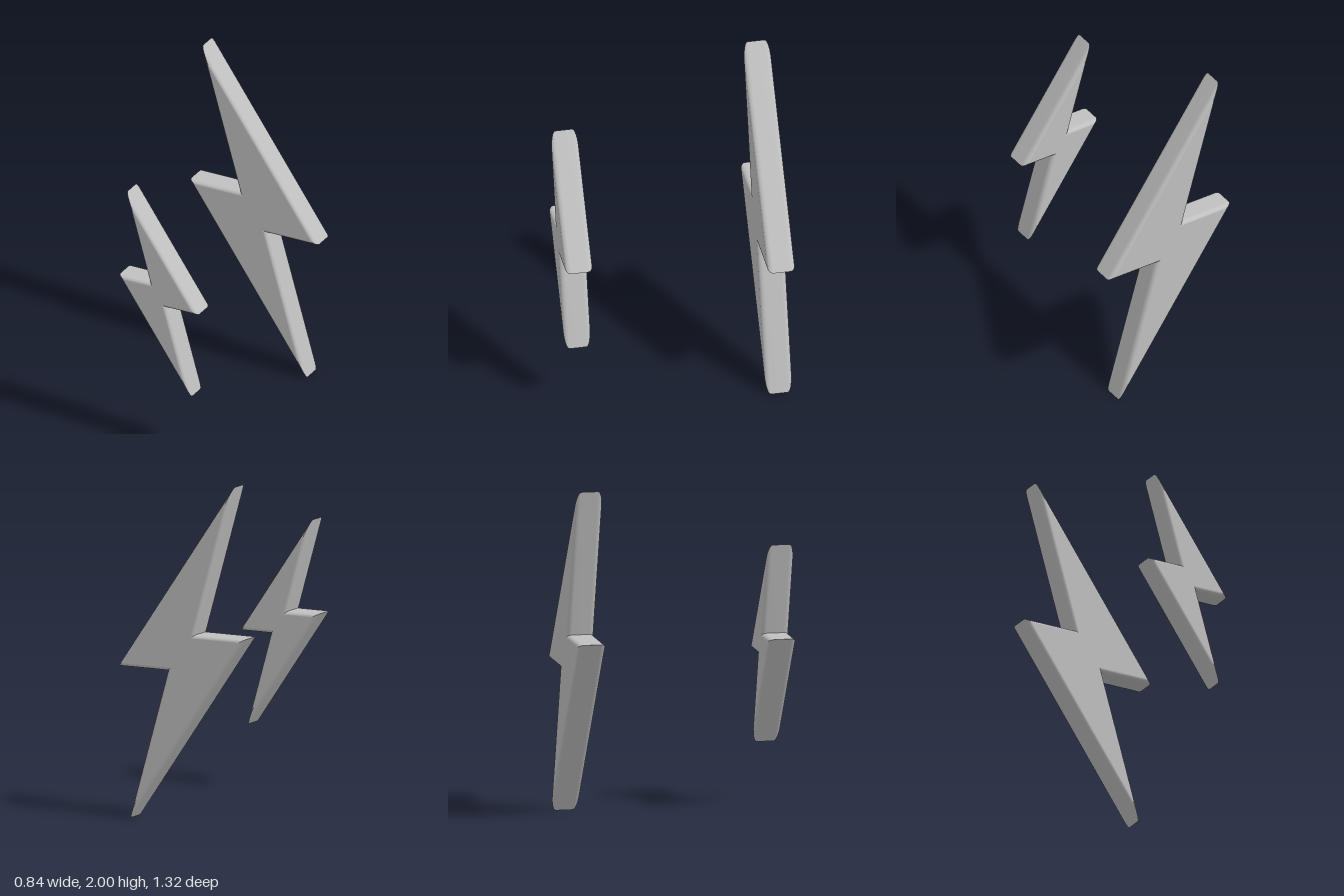
import * as THREE from 'three';
import { mergeGeometries } from 'three/addons/utils/BufferGeometryUtils.js';

// Half of the zigzag outline about its centre; the other half is its half-turn.
const HALF = [[-0.343, 0.998], [0.42, -0.112], [0.09, -0.112]];
const OUTLINE = [...HALF, ...HALF.map(([x, y]) => [-x, -y])];
const HALF_DEPTH = 0.08, BEVEL_IN = 0.02, BEVEL_DEPTH = 0.03, STEPS = 6;

// Moves every side of a clockwise outline inwards by d, keeping sharp mitred tips.
function inset(points, d) {
  const n = points.length;
  const normals = points.map((p, i) => {
    const q = points[(i + 1) % n];
    return new THREE.Vector2(p[1] - q[1], q[0] - p[0]).normalize();
  });
  return points.map(([x, y], i) => {
    const a = normals[(i + n - 1) % n], b = normals[i];
    const k = d / (1 + a.dot(b));
    return [x - (a.x + b.x) * k, y - (a.y + b.y) * k];
  });
}

// Rounded slab: flat caps plus one smooth strip for each side of the outline.
function boltGeometry(scale) {
  const outline = OUTLINE.map(([x, y]) => [x * scale, y * scale]);
  const front = [];
  for (let i = 0; i <= STEPS; i++) {
    const t = (i / STEPS) * Math.PI / 2;
    front.push({
      z: HALF_DEPTH - BEVEL_DEPTH * (1 - Math.cos(t)),
      loop: inset(outline, BEVEL_IN * (1 - Math.sin(t))),
    });
  }
  const rows = [...front, ...front.map(r => ({ z: -r.z, loop: r.loop })).reverse()];
  const parts = [];

  // rounded sides
  for (let e = 0; e < outline.length; e++) {
    const pos = [], uv = [], index = [];
    rows.forEach(({ z, loop }, r) => {
      const a = loop[e], b = loop[(e + 1) % loop.length];
      pos.push(a[0], a[1], z, b[0], b[1], z);
      uv.push(0, r / rows.length, 1, r / rows.length);
      if (r < rows.length - 1) {
        const k = r * 2;
        index.push(k, k + 1, k + 3, k, k + 3, k + 2);
      }
    });
    const g = new THREE.BufferGeometry();
    g.setAttribute('position', new THREE.Float32BufferAttribute(pos, 3));
    g.setAttribute('uv', new THREE.Float32BufferAttribute(uv, 2));
    g.setIndex(index);
    g.computeVertexNormals();
    parts.push(g);
  }

  // flat front and back caps
  for (const side of [1, -1]) {
    const shape = new THREE.Shape(rows[0].loop.map(([x, y]) => new THREE.Vector2(x * side, y)));
    const cap = new THREE.ShapeGeometry(shape);
    cap.translate(0, 0, HALF_DEPTH);
    if (side < 0) cap.rotateY(Math.PI);
    parts.push(cap);
  }
  return mergeGeometries(parts);
}

export function createModel() {
  const group = new THREE.Group();
  group.name = 'lightningBolts';
  const grey = new THREE.MeshStandardMaterial({ color: 0xc0c0c0 });
  grey.name = 'grey';

  const addBolt = (name, scale, z) => {
    const bolt = new THREE.Mesh(boltGeometry(scale), grey);
    bolt.name = name;
    bolt.position.set(0, 1.002, z);
    group.add(bolt);
  };
  addBolt('largeBolt', 1, -0.58);
  addBolt('smallBolt', 0.618, 0.58);
  return group;
}
